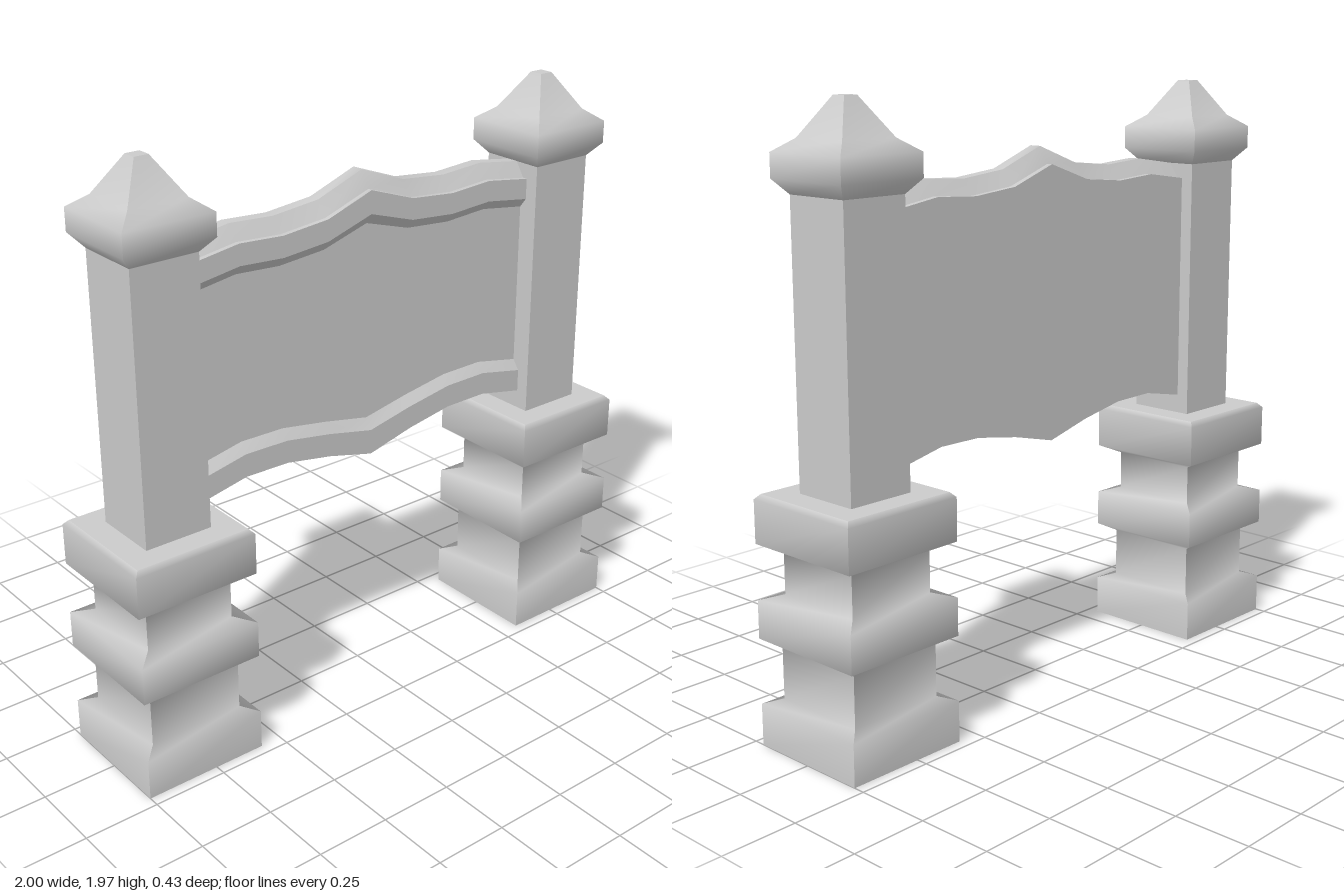
import * as THREE from 'three';
import { mergeGeometries } from 'three/addons/utils/BufferGeometryUtils.js';

const material = new THREE.MeshStandardMaterial({ color: 0xcccccc, side: THREE.DoubleSide });

// Smooth surface through rows of points (rows run left to right, stacked upwards)
function strip(rows) {
  const n = rows[0].length, index = [];
  for (let r = 0; r < rows.length - 1; r++) {
    for (let i = 0; i < n - 1; i++) {
      const a = r * n + i, c = a + n;
      index.push(a, a + 1, c + 1, a, c + 1, c);
    }
  }
  const g = new THREE.BufferGeometry();
  g.setAttribute('position', new THREE.Float32BufferAttribute(rows.flat(2), 3));
  g.setIndex(index);
  g.computeVertexNormals();
  return g;
}

// Square turning: a [halfWidth, y] profile on four sides, sharp at the corners
function squareTurned(profile) {
  const sides = [];
  for (let k = 0; k < 4; k++) {
    const side = strip(profile.map(([h, y]) => [[-h, y, h], [h, y, h]]));
    sides.push(side.rotateY(k * Math.PI / 2));
  }
  return mergeGeometries(sides);
}

function mesh(name, geometry) {
  const m = new THREE.Mesh(geometry, material);
  m.name = name;
  return m;
}

function createPost(name) {
  const post = new THREE.Group();
  post.name = name;

  // Moulded pedestal, hollow underneath
  post.add(mesh('pedestal', squareTurned([
    [0.213, 0], [0.213, 0.135], [0.164, 0.152], [0.164, 0.32],
    [0.213, 0.347], [0.213, 0.47], [0.154, 0.488], [0.154, 0.62],
    [0.213, 0.648], [0.213, 0.787], [0.198, 0.803],
  ])));
  post.add(mesh('pedestalTop', squareTurned([[0.198, 0.803], [0.115, 0.803]])));

  // Plain square shaft
  post.add(mesh('shaft', squareTurned([[0.116, 0.803], [0.116, 1.69]])));

  // Pointed finial with a tiny flat tip
  post.add(mesh('finial', squareTurned([
    [0.116, 1.69], [0.154, 1.735], [0.154, 1.81], [0.1, 1.85], [0.024, 1.97],
  ])));
  post.add(mesh('finialTip', squareTurned([[0.024, 1.97], [0, 1.97]])));
  return post;
}

// Wavy panel: stations are [x, top height, bottom height, moulding stretch]
function createPanel() {
  const half = [
    [0, 1.785, 0.827, 1.1], [0.17, 1.722, 0.87, 1.02], [0.34, 1.705, 0.9, 1],
    [0.5, 1.715, 0.902, 1], [0.672, 1.69, 0.867, 1],
  ];
  const stations = [
    ...half.slice(1).reverse().map(([x, ...rest]) => [-x, ...rest]), ...half,
  ];
  // Row of points at depth z, offset down from the top or up from the bottom edge
  const top = (z, drop) => stations.map(([x, t, , s]) => [x, t - drop * s, z]);
  const bottom = (z, rise) => stations.map(([x, , b, s]) => [x, b + rise * s, z]);

  const parts = {
    bottomRail: [bottom(0.07, 0), bottom(0.07, 0.078), bottom(0.045, 0.112)],
    board: [bottom(0.045, 0.112), top(0.045, 0.152)],
    topRail: [
      top(0.045, 0.152), top(0.07, 0.12), top(0.07, 0.05), top(0.053, 0.05),
      top(0.02, 0), top(-0.02, 0), top(-0.053, 0.05), top(-0.073, 0.05),
    ],
    back: [top(-0.073, 0.05), bottom(-0.073, 0)],
    underside: [bottom(-0.073, 0), bottom(0.07, 0)],
  };

  const panel = new THREE.Group();
  panel.name = 'panel';
  for (const [name, rows] of Object.entries(parts)) {
    // One strip per band keeps the moulding edges crisp
    const bands = rows.slice(1).map((row, i) => strip([rows[i], row]));
    panel.add(mesh(name, mergeGeometries(bands)));
  }
  return panel;
}

export function createModel() {
  const model = new THREE.Group();
  model.name = 'signBoard';
  for (const side of [-1, 1]) {
    const post = createPost(side > 0 ? 'leftPost' : 'rightPost');
    post.position.x = side * 0.787;
    model.add(post);
  }
  model.add(createPanel());
  return model;
}
